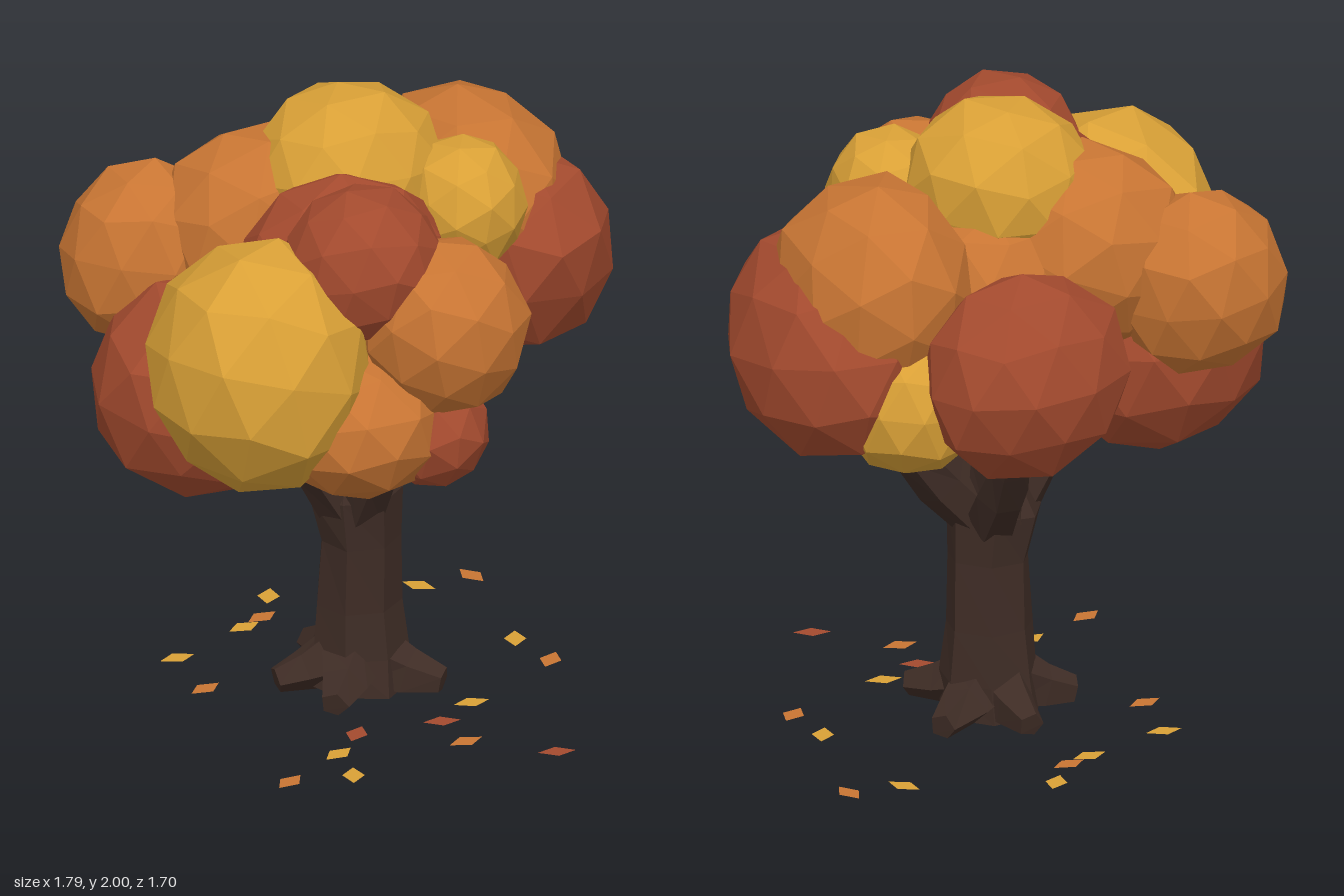
import * as THREE from 'three';

const YELLOW = 0xd9a036, ORANGE = 0xc87533, RED = 0xa34a2e, BARK = 0x3e2c25;

const paint = (color) => new THREE.MeshStandardMaterial({ color, flatShading: true });
const mats = { y: paint(YELLOW), o: paint(ORANGE), r: paint(RED), bark: paint(BARK) };
const leafMats = [YELLOW, ORANGE, RED].map((color) =>
  new THREE.MeshStandardMaterial({ color, side: THREE.DoubleSide }));

// repeatable noise in -1..1
function noise(a, b, c) {
  const s = Math.sin(a * 127.1 + b * 311.7 + c * 74.7) * 43758.5453;
  return (s - Math.floor(s)) * 2 - 1;
}

function add(parent, name, geometry, material) {
  const mesh = new THREE.Mesh(geometry, material);
  mesh.name = name;
  parent.add(mesh);
  return mesh;
}

// faceted limb through stations [x, y, z, radius]
function limb(stations, sides, rough = 0.1) {
  const pts = stations.map((s) => new THREE.Vector3(s[0], s[1], s[2]));
  const n = pts.length, pos = [], idx = [];
  const dir = pts[n - 1].clone().sub(pts[0]).normalize();
  const ref = Math.abs(dir.y) > 0.45 ? new THREE.Vector3(0, 0, 1) : new THREE.Vector3(0, 1, 0);
  pts.forEach((p, i) => {
    const t = pts[Math.min(i + 1, n - 1)].clone().sub(pts[Math.max(i - 1, 0)]).normalize();
    const u = ref.clone().cross(t).normalize(), v = t.clone().cross(u);
    for (let j = 0; j < sides; j++) {
      const a = (j / sides) * Math.PI * 2;
      const r = stations[i][3] * (1 + rough * noise(i + p.x, j, p.z));
      const q = p.clone().addScaledVector(u, r * Math.cos(a)).addScaledVector(v, r * Math.sin(a));
      pos.push(q.x, Math.max(q.y, 0), q.z);
    }
  });
  for (let i = 0; i < n - 1; i++) {
    for (let j = 0; j < sides; j++) {
      const k = (j + 1) % sides;
      const a = i * sides + j, b = i * sides + k, c = a + sides, d = b + sides;
      idx.push(a, b, c, b, d, c);
    }
  }
  const last = (n - 1) * sides;
  for (let j = 1; j < sides - 1; j++) {
    idx.push(0, j + 1, j, last, last + j, last + j + 1);
  }
  const g = new THREE.BufferGeometry();
  g.setAttribute('position', new THREE.Float32BufferAttribute(pos, 3));
  g.setIndex(idx);
  g.computeVertexNormals();
  return g;
}

// lumpy faceted foliage ball
function clump(rx, ry, rz, seed) {
  const g = new THREE.IcosahedronGeometry(1, 1);
  g.rotateX(seed * 1.3);
  g.rotateY(seed * 2.1);
  const p = g.attributes.position;
  for (let i = 0; i < p.count; i++) {
    const [x, y, z] = [p.getX(i), p.getY(i), p.getZ(i)];
    const key = [x, y, z].map((c) => Math.round(c * 100));
    const k = 1.03 + 0.035 * noise(key[0] + seed, key[1], key[2]);
    p.setXYZ(i, x * k * rx, y * k * ry, z * k * rz);
  }
  g.computeVertexNormals();
  return g;
}

// colour, centre, radii, optional tilt about x and turn about y
const CLUMPS = [
  ['y', -0.51, 1.34, 0.44, 0.35, 0.39, 0.36],
  ['y', 0.28, 1.65, 0.17, 0.19, 0.21, 0.21],
  ['y', -0.02, 1.73, -0.03, 0.3, 0.27, 0.3],
  ['y', 0.38, 1.19, -0.41, 0.22, 0.23, 0.22],
  ['r', -0.17, 1.64, 0.47, 0.25, 0.24, 0.23],
  ['r', -0.15, 1.54, 0.25, 0.33, 0.29, 0.25],
  ['r', 0.57, 1.33, -0.17, 0.31, 0.33, 0.42, -0.4],
  ['r', 0.05, 1.3, -0.56, 0.34, 0.32, 0.27, 0, 0.4],
  ['r', -0.54, 1.13, 0.07, 0.35, 0.34, 0.34],
  ['r', 0.02, 1.09, 0.52, 0.18, 0.19, 0.24],
  ['o', 0.05, 1.44, 0.58, 0.26, 0.28, 0.26],
  ['o', 0.44, 1.5, -0.21, 0.31, 0.34, 0.38],
  ['o', -0.59, 1.44, -0.28, 0.27, 0.29, 0.25],
  ['o', -0.26, 1.54, -0.14, 0.33, 0.32, 0.29],
  ['o', -0.22, 1.14, 0.5, 0.28, 0.24, 0.3],
  ['o', 0.13, 1.22, 0.06, 0.25, 0.27, 0.24],
  ['o', -0.32, 1.36, 0.2, 0.26, 0.27, 0.25],
  ['o', 0.06, 1.42, -0.18, 0.28, 0.3, 0.25],
];

// fallen leaves: x, z, turn, colour index
const LEAVES = [
  [0.46, -0.62, -0.9, 0], [0.64, -0.63, -1.3, 1], [0.37, 0.72, -0.2, 2], [-0.48, 0.62, 0.6, 1],
  [-0.28, 0.65, 1.2, 0], [-0.26, 0.48, 0.5, 0], [-0.45, -0.14, 0.4, 1], [-0.44, -0.39, 0.1, 0],
  [-0.15, 0.36, 0.9, 2], [0.13, 0.37, -0.2, 2], [0.14, 0.54, 0.2, 1], [0.27, 0.27, 0, 0],
  [0.62, 0.06, 0.9, 1], [0.58, -0.13, 1.2, 0], [0, -0.72, 1.1, 0], [-0.16, -0.53, 0.3, 0],
  [-0.08, -0.58, 0.4, 1],
];

// roots: heading in degrees from +x towards +z, reach
const ROOTS = [[40, 0.28], [127, 0.28], [185, 0.26], [260, 0.28], [315, 0.31]];

export function createModel() {
  const tree = new THREE.Group();
  tree.name = 'autumnTree';

  // trunk
  add(tree, 'trunk', limb([
    [0.01, 0, -0.03, 0.17], [0.02, 0.12, -0.03, 0.155], [0.015, 0.28, -0.03, 0.14],
    [0.015, 0.5, -0.02, 0.13], [0, 0.66, -0.015, 0.15], [0, 0.79, -0.02, 0.09],
  ], 7, 0.07), mats.bark);

  // branches rising into the crown
  const branches = [
    [[0.05, 0.64, -0.03, 0.09], [0.18, 0.78, -0.06, 0.085], [0.29, 0.91, -0.1, 0.07], [0.45, 1.08, -0.14, 0.05]],
    [[0.02, 0.62, -0.06, 0.09], [0.02, 0.77, -0.2, 0.08], [0.03, 0.9, -0.3, 0.065], [0.04, 1.1, -0.45, 0.05]],
    [[-0.04, 0.62, 0, 0.09], [-0.14, 0.77, 0.02, 0.08], [-0.22, 0.9, 0.06, 0.06], [-0.34, 1.04, 0.1, 0.045]],
    [[0, 0.62, 0.03, 0.09], [0, 0.77, 0.14, 0.075], [0, 0.9, 0.24, 0.06], [0, 1.06, 0.37, 0.045]],
    [[0, 0.65, -0.06, 0.1], [0.02, 0.85, -0.1, 0.08], [0.02, 1.2, -0.11, 0.06]],
  ];
  branches.forEach((b) => add(tree, 'branch', limb(b, 6), mats.bark));

  // roots spread around the base
  ROOTS.forEach(([heading, reach]) => {
    const a = THREE.MathUtils.degToRad(heading);
    const at = (d, y, r) => [0.01 + Math.cos(a) * d, y, -0.03 + Math.sin(a) * d, r];
    add(tree, 'root', limb([at(0.05, 0.09, 0.11), at(0.17, 0.055, 0.075), at(reach, 0.035, 0.045)], 5), mats.bark);
  });

  // foliage
  const crown = new THREE.Group();
  crown.name = 'crown';
  tree.add(crown);
  CLUMPS.forEach(([c, x, y, z, rx, ry, rz, tilt = 0, turn = 0], i) => {
    const ball = add(crown, 'foliageClump', clump(rx, ry, rz, i + 1), mats[c]);
    ball.position.set(x, y, z);
    ball.rotation.set(tilt, turn, 0);
  });

  // fallen leaves on the ground
  const diamond = new THREE.Shape([[-0.06, 0], [0, -0.035], [0.06, 0], [0, 0.035]]
    .map(([x, y]) => new THREE.Vector2(x, y)));
  const leafGeo = new THREE.ShapeGeometry(diamond).rotateX(-Math.PI / 2);
  LEAVES.forEach(([x, z, turn, c]) => {
    const leaf = add(tree, 'fallenLeaf', leafGeo, leafMats[c]);
    leaf.position.set(x, 0.006, z);
    leaf.rotation.y = turn;
  });

  return tree;
}
